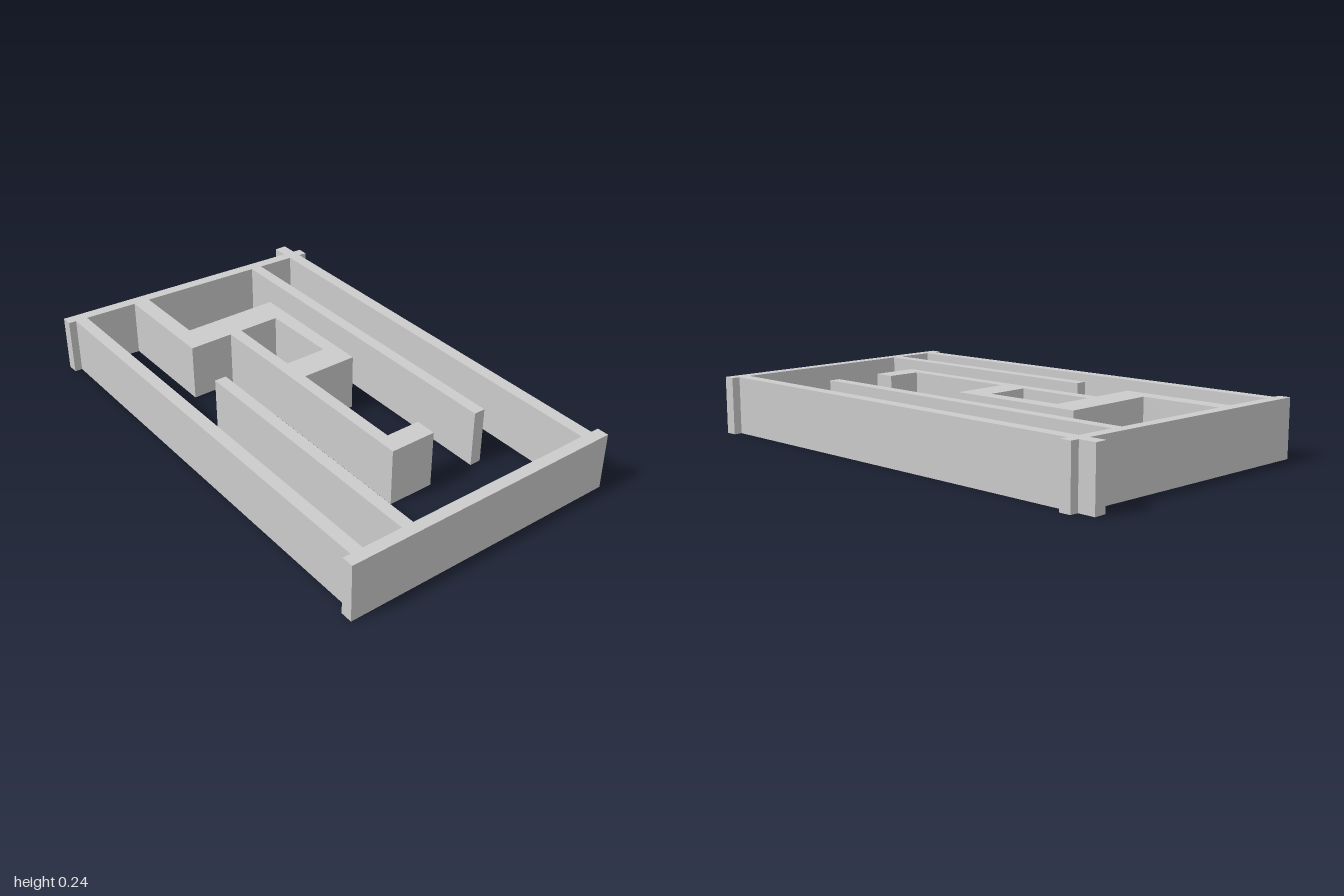
import * as THREE from 'three';

const HEIGHT = 0.243;
const material = new THREE.MeshStandardMaterial({ color: 0xcccccc, flatShading: true });

// z of the slanted back wall's outer and inner faces at a given x
const along = (x, a, b) => a + (b - a) * (x + 0.605) / 1.21;
const backOuter = (x) => along(x, -1, -0.927);
const backInner = (x) => along(x, -0.952, -0.88);

// Plan outline given as [x, z] corners, raised to the wall height;
// the hole runs the opposite way round to the outline
function wall(name, outline, hole) {
  const toPoints = (list) => list.map(([x, z]) => new THREE.Vector2(x, -z));
  const shape = new THREE.Shape(toPoints(outline));
  if (hole) shape.holes.push(new THREE.Path(toPoints(hole)));
  const geometry = new THREE.ExtrudeGeometry(shape, { depth: HEIGHT, bevelEnabled: false });
  geometry.rotateX(-Math.PI / 2);
  const mesh = new THREE.Mesh(geometry, material);
  mesh.name = name;
  return mesh;
}

// Straight wall along z; a null start makes it meet the slanted back wall
function longWall(name, x0, x1, start, end) {
  return wall(name, [
    [x0, start ?? backInner(x0)], [x1, start ?? backInner(x1)], [x1, end], [x0, end],
  ]);
}

export function createModel() {
  const model = new THREE.Group();
  model.name = 'walledFrame';

  // Outer frame
  model.add(
    wall('frontWall', [[-0.605, 0.95], [0.605, 0.95], [0.605, 1], [-0.605, 1]]),
    wall('backWall', [-0.605, 0.605].map((x) => [x, backOuter(x)])
      .concat([0.605, -0.605].map((x) => [x, backInner(x)]))),
    longWall('rightWall', -0.573, -0.521, null, 0.95),
    longWall('leftWall', 0.518, 0.57, null, 0.95),
  );

  // End of the left wall projecting behind the back wall
  model.add(wall('leftWallStub', [
    [0.518, -1], [0.57, -1], [0.57, backOuter(0.57)], [0.518, backOuter(0.518)],
  ]));

  // Free-ended inner partitions
  model.add(
    longWall('frontPartition', -0.354, -0.304, -0.19, 0.95),
    longWall('backPartition', 0.308, 0.357, null, 0.602),
  );

  // Stepped centre partition around a small open shaft
  model.add(wall('centrePartition', [
    [-0.295, backInner(-0.295)], [-0.225, backInner(-0.225)],
    [-0.225, -0.588], [0.193, -0.588], [0.193, 0], [-0.05, 0],
    [-0.05, 0.512], [0.098, 0.512], [0.098, 0.602], [-0.1, 0.602],
    [-0.1, -0.122], [-0.104, -0.455], [-0.295, -0.455],
  ], [[-0.05, -0.455], [-0.05, -0.122], [0.134, -0.122], [0.128, -0.455]]));

  return model;
}
